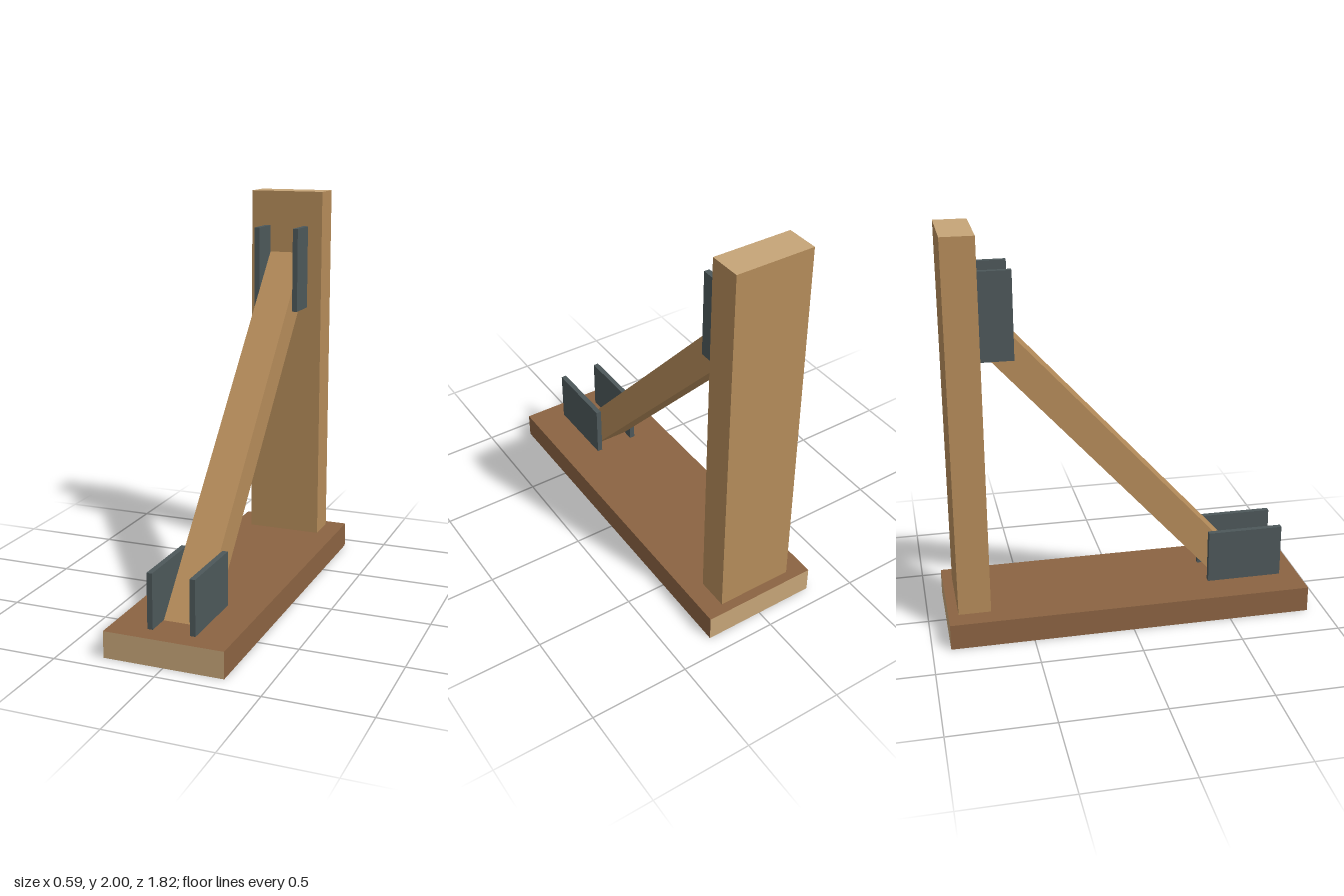
import * as THREE from 'three';

const paint = (color) => new THREE.MeshStandardMaterial({ color, flatShading: true });

export function createModel() {
  const model = new THREE.Group();
  model.name = 'bracedPost';
  const wood = paint(0xb58c5a);
  const darkWood = paint(0x8b6342);
  const endGrain = paint(0xc6a578);
  const steel = paint(0x4d585a);

  // Box given by its lower and upper corner
  const block = (name, min, max, material) => {
    const size = max.map((v, i) => v - min[i]);
    const mesh = new THREE.Mesh(new THREE.BoxGeometry(...size), material);
    mesh.position.set(...max.map((v, i) => (v + min[i]) / 2));
    mesh.name = name;
    model.add(mesh);
  };

  // Base plank, end grain at front and back
  block('base', [-0.295, 0, -0.91], [0.295, 0.13, 0.91],
    [darkWood, darkWood, darkWood, darkWood, endGrain, endGrain]);

  // Upright post, end grain at top and bottom
  block('post', [-0.195, 0.13, -0.86], [0.195, 2, -0.7],
    [wood, wood, endGrain, endGrain, wood, wood]);

  // Diagonal brace, mitred flush to base and post: profile in (z, y)
  const profile = new THREE.Shape([
    [0.7, 0.13], [-0.7, 1.68], [-0.7, 1.447], [0.49, 0.13],
  ].map(([z, y]) => new THREE.Vector2(-z, y)));
  const braceGeometry = new THREE.ExtrudeGeometry(profile, { depth: 0.18, bevelEnabled: false });
  braceGeometry.translate(0, 0, -0.09).rotateY(Math.PI / 2);
  const brace = new THREE.Mesh(braceGeometry, wood);
  brace.name = 'brace';
  model.add(brace);

  // Steel cheek plates on both sides of each brace end
  for (const [side, x] of [['left', 0.105], ['right', -0.105]]) {
    block(side + 'UpperPlate', [x - 0.0135, 1.39, -0.7], [x + 0.0135, 1.82, -0.535], steel);
    block(side + 'LowerPlate', [x - 0.0135, 0.13, 0.43], [x + 0.0135, 0.4, 0.815], steel);
  }
  return model;
}
